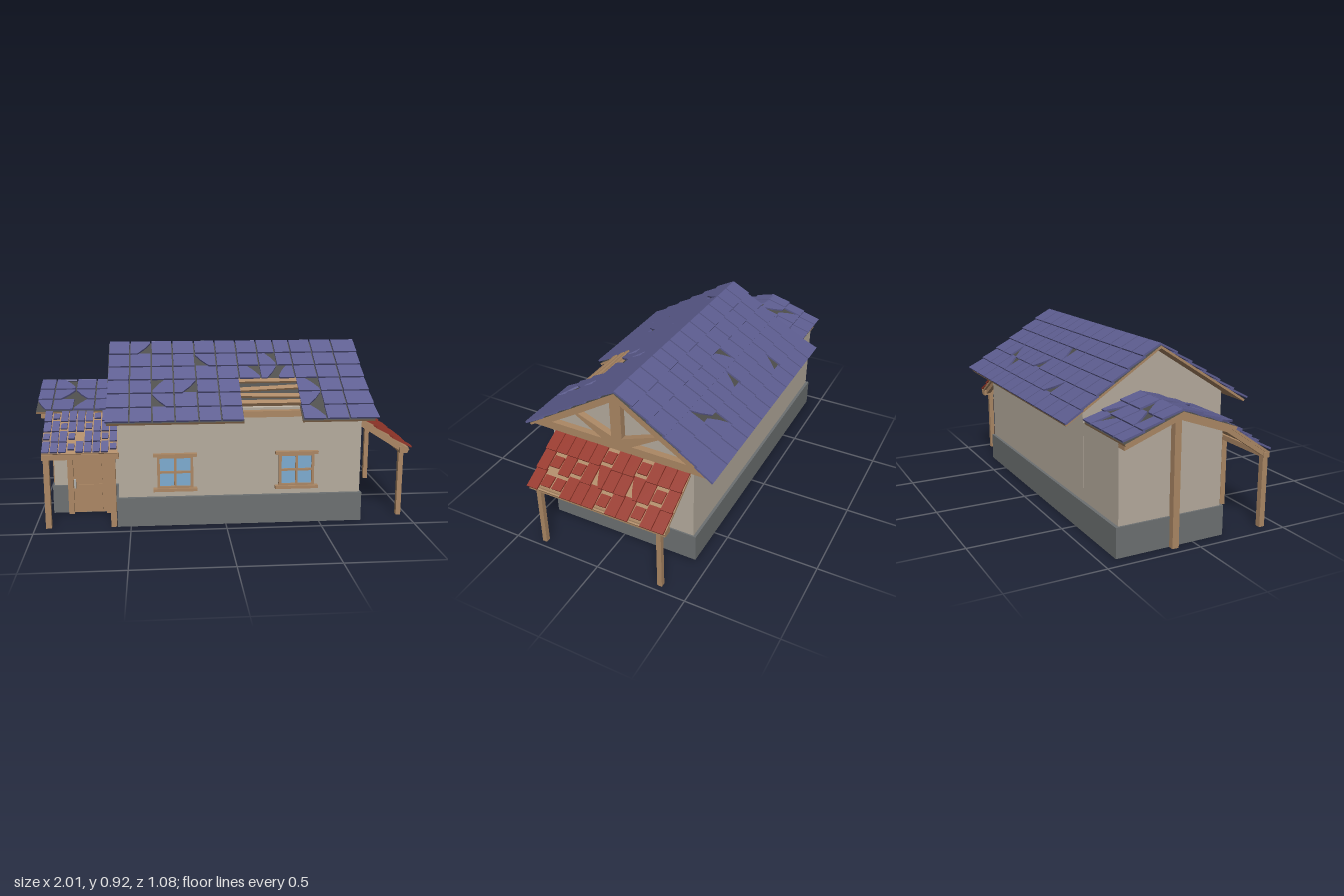
import * as THREE from 'three';
import { mergeGeometries } from 'three/addons/utils/BufferGeometryUtils.js';

const material = (name, color) => {
  const m = new THREE.MeshStandardMaterial({ color });
  m.name = name;
  return m;
};

export function createModel() {
  const model = new THREE.Group();
  model.name = 'house';
  const wall = material('plaster', 0xb5ab9d);
  const stone = material('foundation stone', 0x6c7071);
  const wood = material('wood', 0xab8764);
  const blue = material('blue roof tile', 0x5d5d90);
  const red = material('red roof tile', 0x953629);
  const dark = material('roof underlay', 0x4c4c4a);
  const glass = material('window glass', 0x7dabd0);
  const metal = material('door handle metal', 0xb0b0ac);

  const add = (parent, name, geometry, mat) => {
    const mesh = new THREE.Mesh(geometry, mat);
    mesh.name = name;
    parent.add(mesh);
    return mesh;
  };
  // Box given by its limits on each axis
  const box = (parent, name, mat, x0, x1, y0, y1, z0, z1) => {
    const mesh = add(parent, name, new THREE.BoxGeometry(x1 - x0, y1 - y0, z1 - z0), mat);
    mesh.position.set((x0 + x1) / 2, (y0 + y1) / 2, (z0 + z1) / 2);
    return mesh;
  };
  const polygon = (pts) => new THREE.Shape(pts.map(([x, y]) => new THREE.Vector2(x, y)));
  // Outline in the z-y plane, extruded along x
  const crossSection = (name, mat, shape, x, depth, z = 0) => {
    const mesh = add(model, name, new THREE.ExtrudeGeometry(shape, { depth, bevelEnabled: false }), mat);
    mesh.rotation.y = Math.PI / 2;
    mesh.position.set(x, 0, z);
  };

  // Foundation and walls
  const base = [stone, stone, stone, wall, stone, stone];
  box(model, 'mainFoundation', base, -0.57, 0.728, 0, 0.155, -0.422, 0.427);
  box(model, 'annexFoundation', base, -0.93, -0.57, 0, 0.155, -0.422, 0.175);
  crossSection('mainWalls', wall,
    polygon([[-0.407, 0.1], [0.407, 0.1], [0.407, 0.625], [0, 0.885], [-0.407, 0.625]]), -0.56, 1.28);
  crossSection('annexWalls', wall,
    polygon([[-0.275, 0.1], [0.29, 0.1], [0.29, 0.56], [0, 0.668], [-0.275, 0.56]]), -0.92, 0.37, -0.115);

  // Gable truss: a triangle with four openings
  const truss = polygon([[-0.5, 0.58], [0.5, 0.58], [0, 0.9]]);
  for (const s of [-1, 1]) {
    truss.holes.push(polygon([[s * 0.03, 0.85], [s * 0.03, 0.668], [s * 0.218, 0.728]].map(
      ([a, b], i) => (i === 1 ? [s * 0.03, 0.655] : [a, b]))));
    truss.holes.push(polygon([[s * 0.385, 0.625], [s * 0.085, 0.625], [s * 0.235, 0.718]]));
  }
  crossSection('gableTruss', wood, truss, 0.715, 0.04);
  // Annex gable: rafters and a post down to the ground
  crossSection('annexGableRafters', wood,
    polygon([[-0.29, 0.535], [0, 0.64], [0.29, 0.535], [0.29, 0.565], [0, 0.672], [-0.29, 0.565]]), -0.975, 0.06, -0.115);
  box(model, 'annexGablePost', wood, -0.96, -0.925, 0, 0.66, -0.133, -0.098);

  // One roof slope. Pattern rows run from ridge to eave:
  // F whole tile, s short tile, a-d tile with one broken corner, . none
  function roofSlope(name, o) {
    const { edges, pattern, run, rise, tile, deckTop } = o;
    const len = Math.hypot(run, rise), rowLen = len / pattern.length;
    const [flareL, flareR] = o.flare || [0, 0];
    const slope = new THREE.Group();
    slope.name = name;
    slope.rotation.set(-Math.acos(rise / len), o.turn || 0, 0, 'YXZ');
    slope.position.set(...o.ridge);
    model.add(slope);
    const last = edges.length - 1;
    const bend = (x, v) => {
      const f = Math.max(0, v / len) ** 3;
      if (x < edges[0] + 0.02) return x - flareL * f;
      return x > edges[last] - 0.02 ? x + flareR * f : x;
    };
    const tiles = [];
    pattern.forEach((row, r) => [...row].forEach((kind, c) => {
      if (kind === '.') return;
      const gap = o.gap ?? 0.004;
      let x0 = edges[c] + gap, x1 = edges[c + 1] - gap;
      let v0 = r * rowLen - 0.006, v1 = (r + 1) * rowLen + 0.004;
      if (kind === 's') {
        const w = x1 - x0;
        x0 += w * 0.06; x1 -= w * 0.06;
        v0 += rowLen * 0.25; v1 -= rowLen * 0.25;
      }
      const w = x1 - x0, h = v1 - v0;
      // Corners in order: bottom left, bottom right, top right, top left
      const corners = [[x0, v1], [x1, v1], [x1, v0], [x0, v0]];
      const cut = 'abdc'.indexOf(kind);
      if (cut >= 0) {
        const sx = cut === 0 || cut === 3 ? 1 : -1, sv = cut < 2 ? -1 : 1;
        const [cx, cv] = corners[cut];
        const alongV = [cx, cv + sv * h * 0.85], alongX = [cx + sx * w * 0.65, cv];
        const inner = [cx + sx * w * 0.28, cv + sv * h * 0.42];
        corners.splice(cut, 1, ...(cut % 2 ? [alongX, inner, alongV] : [alongV, inner, alongX]));
      }
      const g = new THREE.ExtrudeGeometry(polygon(corners.map(([x, v]) => [bend(x, v), -v])),
        { depth: 0.01, bevelEnabled: false });
      // Lift the lower end so that rows overlap
      const p = g.attributes.position;
      for (let i = 0; i < p.count; i++) p.setZ(i, p.getZ(i) + 0.001 + 0.01 * (-p.getY(i) - v0) / h);
      tiles.push(g);
    }));
    add(slope, name + 'Tiles', mergeGeometries(tiles), tile);
    // Deck under the tiles: underlay on top, boards below
    const decks = o.decks || [[edges[0], edges[last], len]];
    for (const [x0, x1, l] of decks)
      box(slope, name + 'Deck', [wood, wood, wood, wood, deckTop, wood], x0, x1, -l, 0, -0.012, 0);
    return slope;
  }

  // Main roof
  const mainEdges = [-0.61, -0.495, -0.38, -0.265, -0.145, -0.03, 0.085, 0.2, 0.295, 0.385, 0.505, 0.625, 0.76];
  const mainRoof = { run: 0.525, rise: 0.335, ridge: [0, 0.912, 0], tile: blue, deckTop: dark };
  const flip = (list) => list.map((x) => -x).reverse();
  const front = roofSlope('mainRoofFront', {
    ...mainRoof, edges: mainEdges, flare: [0.01, 0.022],
    pattern: ['FbFFFFFFFFFF', 'FFFFaFFdFFFF', 'FFFFFFdbcFFF', 'FFcbFF...dFF', 'FFaFFF...bFF', 'FFFFFF...dFF'],
    decks: [[-0.61, 0.085, 0.623], [0.085, 0.385, 0.5], [0.385, 0.76, 0.623]],
  });
  roofSlope('mainRoofBack', {
    ...mainRoof, edges: flip(mainEdges), flare: [0.028, 0.035], turn: Math.PI,
    pattern: ['FFFFFFFFFFFF', 'FFFFFFFFFFFF', 'FFFFFdFFFFFF', 'FFFFFFbFFaFF', 'FFFbFFFFFdFF', 'FFFFFFFFFFFF']
      .map((row) => [...row].reverse().join('')),
  });
  // Bare battens where tiles are missing
  [[0.325, 0], [0.385, 0.06], [0.44, -0.03], [0.49, 0]].forEach(([v, tilt]) => {
    const batten = box(front, 'roofBatten', wood, 0.08, 0.39, -v - 0.013, -v + 0.013, 0, 0.012);
    batten.rotation.z = tilt;
  });
  box(model, 'wallPlate', wood, 0.075, 0.39, 0.58, 0.612, 0.4, 0.445);

  // Annex roof
  const annexEdges = [-1, -0.915, -0.8, -0.69, -0.6];
  const annexRoof = { run: 0.303, rise: 0.112, ridge: [0, 0.685, -0.115], tile: blue, deckTop: dark };
  roofSlope('annexRoofFront', { ...annexRoof, edges: annexEdges, pattern: ['FdFF', 'FbaF', 'aFcF'] });
  roofSlope('annexRoofBack', {
    ...annexRoof, edges: flip(annexEdges), turn: Math.PI, pattern: ['FFaF', 'bFdF', 'FcFF'],
  });

  const evenEdges = (a, b, n) => Array.from({ length: n + 1 }, (_, i) => a + (b - a) * i / n);
  // Porch roof over the door
  const porch = roofSlope('porchRoof', {
    edges: evenEdges(-0.95, -0.562, 9), run: 0.24, rise: 0.163, ridge: [0, 0.565, 0.185],
    tile: blue, deckTop: wood, gap: 0.003,
    pattern: ['FsFFFFsFF', 'FFsFFsFFF', 'sFFs.FFsF', 'FFFsFFFFs'],
  });
  for (const x of [-0.945, -0.59]) box(porch, 'porchRafter', wood, x, x + 0.025, -0.285, 0, -0.035, -0.01);
  box(model, 'porchBeam', wood, -0.95, -0.555, 0.37, 0.398, 0.395, 0.43);
  for (const x of [-0.943, -0.604]) box(model, 'porchPost', wood, x, x + 0.03, 0, 0.38, 0.395, 0.425);

  // Side awning
  const awning = roofSlope('awningRoof', {
    edges: evenEdges(-0.388, 0.392, 12), run: 0.272, rise: 0.172, ridge: [0.72, 0.55, 0],
    turn: Math.PI / 2, tile: red, deckTop: wood, gap: 0.002,
    pattern: ['FFFFFsFFsFFF', 'FsFsFaFFaFsF', 'FssFFFsFFsFF'],
  });
  for (const x of [-0.375, -0.012, 0.352]) box(awning, 'awningRafter', wood, x, x + 0.025, -0.3, 0, -0.035, -0.01);
  box(model, 'awningBeam', wood, 0.94, 0.985, 0.358, 0.39, -0.392, 0.388);
  for (const z of [0.334, -0.358]) box(model, 'awningPost', wood, 0.943, 0.969, 0, 0.37, z, z + 0.026);

  // Four-pane windows
  const makeWindow = (x, z, turn) => {
    const w = new THREE.Group();
    w.name = 'window';
    w.position.set(x, 0, z);
    w.rotation.y = turn;
    model.add(w);
    const frame = polygon([[-0.094, 0.2], [0.094, 0.2], [0.094, 0.382], [-0.094, 0.382]]);
    for (const px of [-0.043, 0.043])
      for (const py of [0.249, 0.33])
        frame.holes.push(polygon([[px - 0.037, py - 0.035], [px - 0.037, py + 0.035], [px + 0.037, py + 0.035], [px + 0.037, py - 0.035]]));
    add(w, 'windowFrame', new THREE.ExtrudeGeometry(frame, { depth: 0.018, bevelEnabled: false }), wood);
    box(w, 'windowGlass', glass, -0.09, 0.09, 0.205, 0.375, 0, 0.007);
    box(w, 'windowSill', wood, -0.114, 0.114, 0.188, 0.204, 0, 0.03);
    box(w, 'windowLintel', wood, -0.114, 0.114, 0.374, 0.39, 0, 0.027);
  };
  makeWindow(-0.265, 0.406, 0);
  makeWindow(0.375, 0.406, 0);
  makeWindow(0.719, 0, Math.PI / 2);

  // Door with frame, two raised panels and a handle
  const frame = polygon([[-0.845, 0], [-0.815, 0], [-0.815, 0.345], [-0.64, 0.345], [-0.64, 0], [-0.612, 0], [-0.612, 0.37], [-0.845, 0.37]]);
  add(model, 'doorFrame', new THREE.ExtrudeGeometry(frame, { depth: 0.05, bevelEnabled: false }), wood).position.z = 0.155;
  box(model, 'doorLeaf', wood, -0.815, -0.64, 0.005, 0.345, 0.15, 0.187);
  box(model, 'doorPanel', wood, -0.795, -0.66, 0.19, 0.325, 0.185, 0.194);
  box(model, 'doorPanel', wood, -0.795, -0.66, 0.02, 0.165, 0.185, 0.194);
  box(model, 'doorHandle', metal, -0.812, -0.802, 0.145, 0.195, 0.185, 0.203);

  return model;
}
